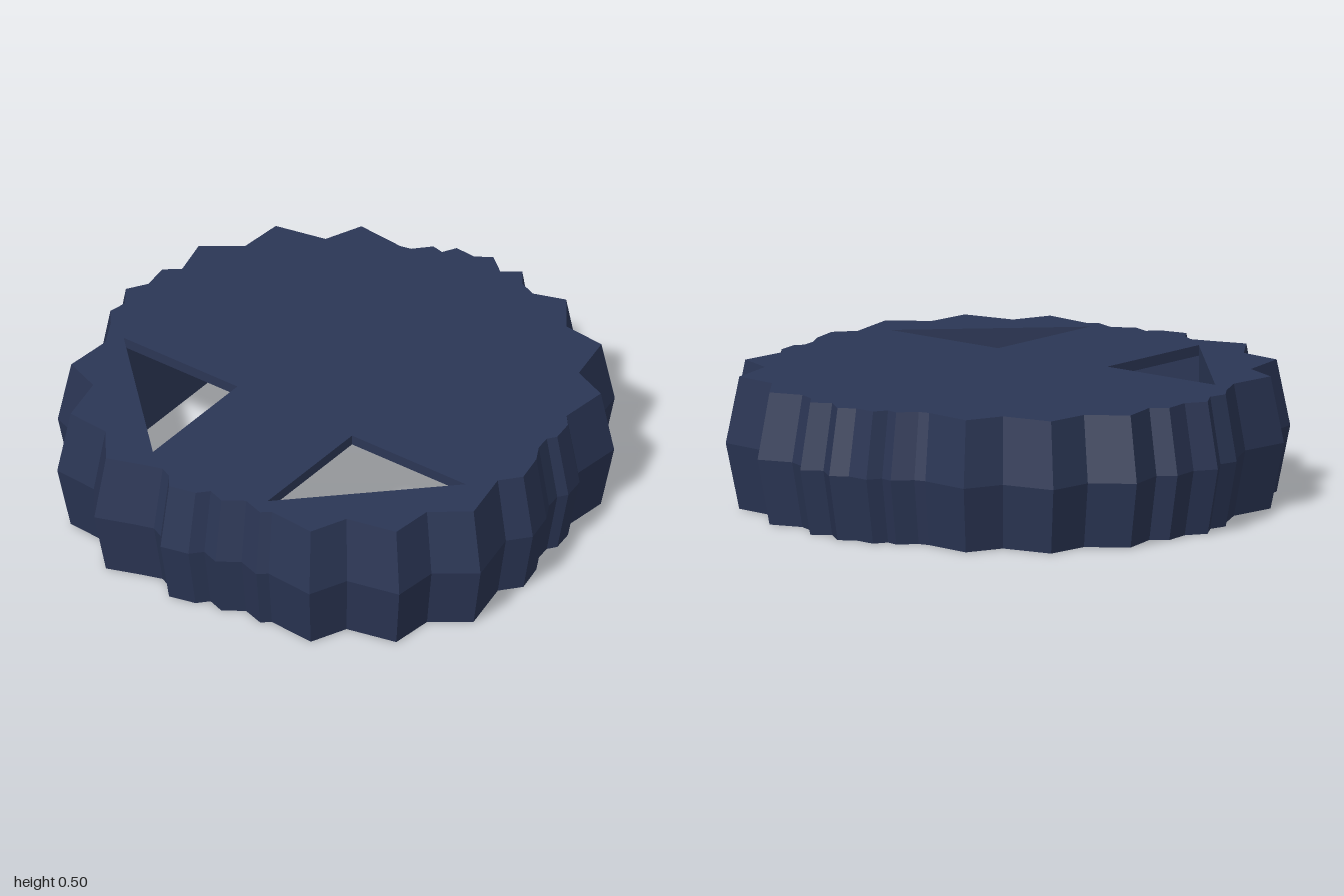
import * as THREE from 'three';

const HEIGHT = 0.5, PLATE = 0.04, CENTRE = 0.02;
const material = new THREE.MeshStandardMaterial({ color: 0x2b3655, flatShading: true });

// Quarter turn in plan, repeated k times
const turn = ([x, z], k) => {
  for (let i = 0; i < k; i++) [x, z] = [-z, x];
  return [x, z];
};
// Plan points (x, z) become shape points, so that the extrusion ends up pointing up
const plan = (points) => points.map(([x, z]) => new THREE.Vector2(x, -z));

// Large teeth, the same on all four corners
const cornerTeeth = [[-0.4, 0.965], [-0.51, 0.82], [-0.69, 0.805], [-0.735, 0.597], [-0.887, 0.536], [-0.87, 0.335]];
// Small uneven teeth of each side, as if it faced the front
const sideTeeth = [
  [[0.3, 0.9], [0.21, 0.87], [0.13, 0.925], [0.06, 0.9], [0.02, 0.945], [-0.09, 0.97], [-0.13, 0.915], [-0.18, 0.89], [-0.26, 0.915]],
  [[0.22, 0.93], [0.155, 0.98], [0.08, 0.965], [0, 1.02], [-0.08, 0.97], [-0.19, 0.985], [-0.24, 0.925]],
  [[0.29, 0.88], [0.23, 0.945], [0.18, 0.935], [0.15, 0.99], [0.06, 0.985], [0, 1.027], [-0.08, 0.965], [-0.15, 1.015], [-0.2, 0.95], [-0.27, 0.92]],
  [[0.29, 0.91], [0.2, 0.925], [0.165, 0.9], [0.1, 0.91], [0.03, 0.95], [-0.095, 0.98], [-0.175, 0.915]],
];

// Open middle: a square with its four corners cut off
const opening = [0, 1, 2, 3].flatMap((k) => [[0.265, 0.79], [-0.265, 0.79]].map((p) => turn(p, k)));

function extrude(shape, depth, steps) {
  const geometry = new THREE.ExtrudeGeometry(shape, { depth, steps, bevelEnabled: false });
  return geometry.rotateX(-Math.PI / 2);
}

// Toothed ring whose outer wall is widest at half height
function ringGeometry() {
  const outline = sideTeeth
    .flatMap((teeth, k) => [...teeth, ...cornerTeeth].map((p) => turn(p, k)))
    .map(([x, z]) => [x, z + 0.008]);
  const shape = new THREE.Shape(plan(outline));
  // The hole runs against the outline so that its walls face inwards
  shape.holes.push(new THREE.Path(plan(opening).reverse()));
  const geometry = extrude(shape, HEIGHT, 2);
  const pos = geometry.attributes.position;
  for (let i = 0; i < pos.count; i++) {
    const x = pos.getX(i), z = pos.getZ(i);
    const outer = Math.hypot(x, z) > 0.85;
    const atRim = Math.abs(pos.getY(i) - HEIGHT / 2) > 0.1;
    if (outer && atRim) pos.setXYZ(i, x * 0.952, pos.getY(i), z * 0.952);
  }
  geometry.computeVertexNormals();
  return geometry;
}

// Thin top plate that leaves the two front corners of the opening free
function plateGeometry() {
  const a = 0.265, b = 0.79;
  const half = [[a, b], [a, a], [b, a], [b, -a], [a, -b]];
  const mirrored = half.map(([x, z]) => [-x, z]).reverse();
  return extrude(new THREE.Shape(plan([...half, ...mirrored])), PLATE, 1);
}

export function createModel() {
  const model = new THREE.Group();
  model.name = 'toothedCap';

  const ring = new THREE.Mesh(ringGeometry(), material);
  ring.name = 'toothedRing';

  const plate = new THREE.Mesh(plateGeometry(), material);
  plate.name = 'topPlate';
  plate.position.y = HEIGHT - PLATE;

  for (const part of [ring, plate]) {
    part.position.x = CENTRE;
    part.position.z = CENTRE;
    model.add(part);
  }
  return model;
}
